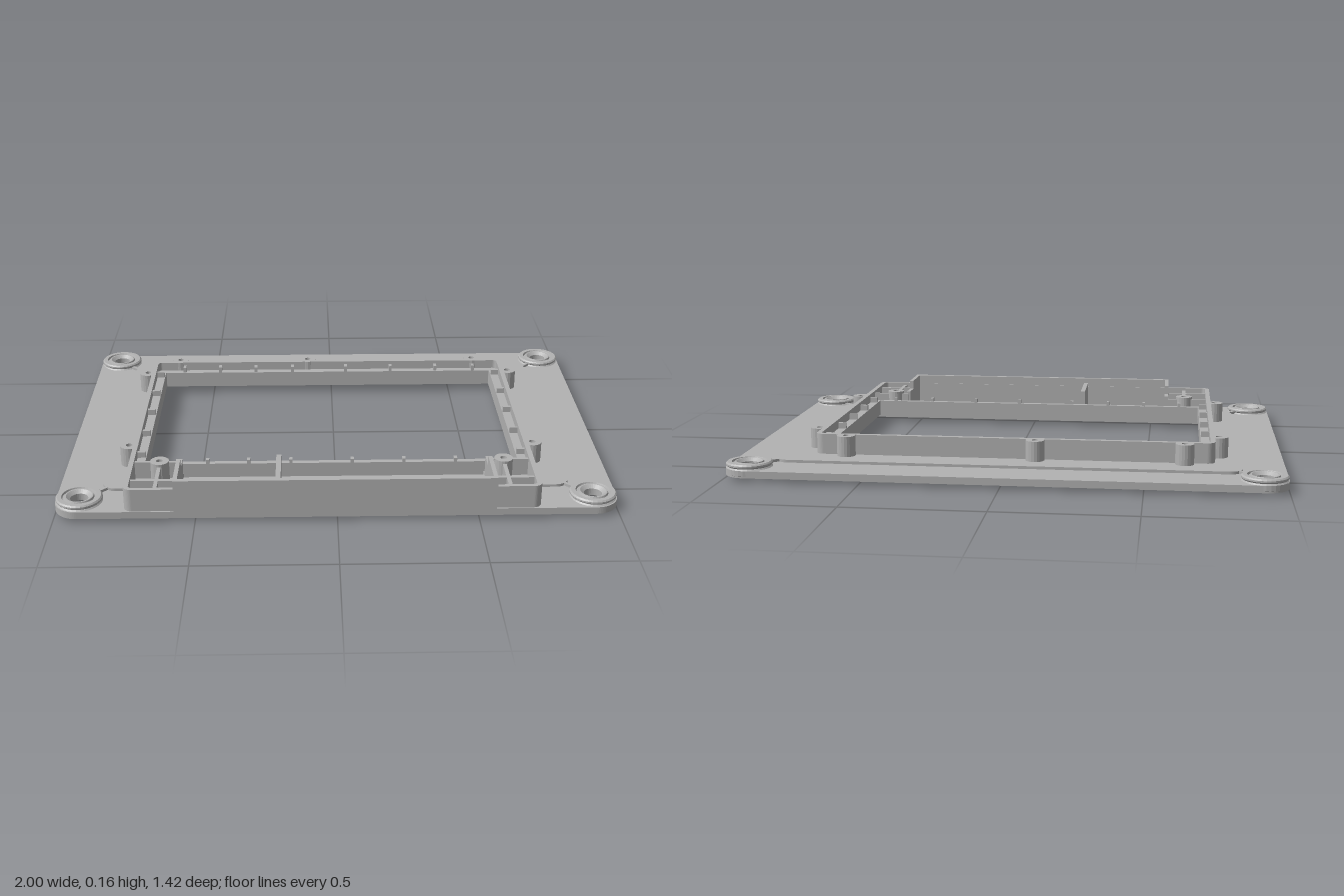
import * as THREE from 'three';

const grey = new THREE.MeshStandardMaterial({ color: 0xb2b2b2 });
grey.name = 'grey plastic';

// Rounded rectangle in plan (x, z)
function rect(x0, x1, z0, z1, r = 0.001, Type = THREE.Shape) {
  const s = new Type();
  const corner = (x, z, a) => s.absarc(x, z, r, a, a + Math.PI / 2, false);
  s.moveTo(x1, z0 + r);
  corner(x1 - r, z1 - r, 0);
  corner(x0 + r, z1 - r, Math.PI / 2);
  corner(x0 + r, z0 + r, Math.PI);
  corner(x1 - r, z0 + r, Math.PI * 1.5);
  return s;
}
const hole = (...a) => rect(...a, THREE.Path);
function circle(x, z, r, Type = THREE.Path) {
  const s = new Type();
  s.absarc(x, z, r, 0, Math.PI * 2, false);
  return s;
}

export function createModel() {
  const model = new THREE.Group();
  model.name = 'displayBezel';

  function add(name, geometry) {
    const m = new THREE.Mesh(geometry, grey);
    m.name = name;
    model.add(m);
    return m;
  }
  // Plan shape extruded from y0 up to y1
  function slab(name, shape, y0, y1, holes = []) {
    shape.holes.push(...holes);
    const g = new THREE.ExtrudeGeometry(shape, { depth: y1 - y0, bevelEnabled: false, curveSegments: 10 });
    return add(name, g.rotateX(Math.PI / 2).translate(0, y1, 0));
  }
  function box(name, x0, x1, y0, y1, z0, z1) {
    const g = new THREE.BoxGeometry(x1 - x0, y1 - y0, z1 - z0);
    return add(name, g.translate((x0 + x1) / 2, (y0 + y1) / 2, (z0 + z1) / 2));
  }

  const corners = [];
  for (const x of [-0.915, 0.915]) for (const z of [-0.628, 0.617]) corners.push([x, z]);

  // Flange, slightly raised centre panel and the lip below it
  slab('flange', rect(-1, 1, -0.71, 0.705, 0.085), 0.014, 0.04,
    [hole(-0.8, 0.8, -0.52, 0.515, 0.03), ...corners.map(([x, z]) => circle(x, z, 0.05))]);
  slab('centrePanel', rect(-0.845, 0.845, -0.56, 0.55, 0.05), 0.028, 0.05,
    [hole(-0.7, 0.67, -0.4, 0.42, 0.002), hole(-0.56, 0.545, 0.44, 0.468, 0.002)]);
  slab('lowerLip', rect(-0.835, 0.835, -0.55, 0.545, 0.045), 0, 0.03,
    [hole(-0.805, 0.805, -0.52, 0.515, 0.03)]);

  // Grommet-like mounting bosses with through holes
  const bossProfile = [[0.032, 0.024], [0.05, 0.012], [0.075, 0.012], [0.083, 0.02], [0.083, 0.04], [0.078, 0.045],
    [0.083, 0.05], [0.083, 0.056], [0.078, 0.061], [0.062, 0.061], [0.059, 0.054], [0.054, 0.054],
    [0.051, 0.061], [0.046, 0.061], [0.032, 0.05], [0.032, 0.024]].map(([r, y]) => new THREE.Vector2(r, y));
  for (const [x, z] of corners) {
    const g = new THREE.LatheGeometry(bossProfile, 32).toNonIndexed();
    g.computeVertexNormals();
    add('mountingBoss', g.translate(x, 0, z));
    // Short diagonal rib between the boss and the panel
    const rib = add('cornerRib', new THREE.BoxGeometry(0.06, 0.02, 0.012));
    rib.position.set(Math.sign(x) * 0.845, 0.04, Math.sign(z) * 0.552);
    rib.rotation.y = -Math.sign(x * z) * Math.PI / 4;
  }

  // Perimeter wall, and the lower ledge around the window
  slab('perimeterWall', rect(-0.75, 0.72, -0.447, 0.7, 0.03), 0.035, 0.125,
    [hole(-0.732, 0.702, -0.428, 0.685, 0.015)]);
  slab('windowLedge', rect(-0.735, 0.705, -0.43, 0.44), 0.04, 0.09, [hole(-0.7, 0.67, -0.4, 0.42, 0.002)]);

  // Small ribs across the ledge
  for (const x of [-0.62, -0.47, -0.32, -0.165, 0.06, 0.25, 0.44, 0.6]) {
    box('ledgeRib', x - 0.006, x + 0.006, 0.08, 0.112, -0.43, -0.402);
    box('ledgeRib', x - 0.006, x + 0.006, 0.08, 0.105, 0.422, 0.44);
  }
  for (const z of [-0.36, -0.17, 0.01, 0.2, 0.38]) {
    box('ledgeRib', -0.735, -0.702, 0.08, 0.112, z - 0.006, z + 0.006);
    box('ledgeRib', 0.672, 0.705, 0.08, 0.112, z - 0.006, z + 0.006);
  }

  // Screw posts, each with a web reaching the wall
  const posts = [[-0.64, -0.46], [-0.1, -0.46], [0.6, -0.46], [-0.64, 0.48], [0.61, 0.48],
    [-0.765, -0.325], [-0.765, 0.35], [0.735, -0.325], [0.735, 0.35]];
  for (const [x, z] of posts) {
    slab('screwPost', circle(x, z, 0.034, THREE.Shape), 0.04, 0.125, [circle(x, z, 0.012)]);
  }

  // Raised front compartment
  box('compartmentFront', -0.573, 0.56, 0.04, 0.16, 0.687, 0.705);
  for (const x of [-0.573, 0.545]) {
    box('compartmentSide', x, x + 0.015, 0.04, 0.16, 0.535, 0.7);
    box('compartmentSide', x, x + 0.015, 0.04, 0.125, 0.468, 0.54);
  }
  box('compartmentDivider', -0.217, -0.199, 0.04, 0.14, 0.47, 0.69);

  // Side pockets with cross ribs
  for (const [x0, x1, mid] of [[-0.735, -0.57, -0.64], [0.555, 0.705, 0.61]]) {
    box('pocketBack', x0, x1, 0.04, 0.115, 0.462, 0.474);
    box('pocketRib', x0, x1, 0.04, 0.115, 0.602, 0.616);
    box('pocketRib', mid - 0.007, mid + 0.007, 0.04, 0.115, 0.51, 0.69);
  }
  return model;
}
